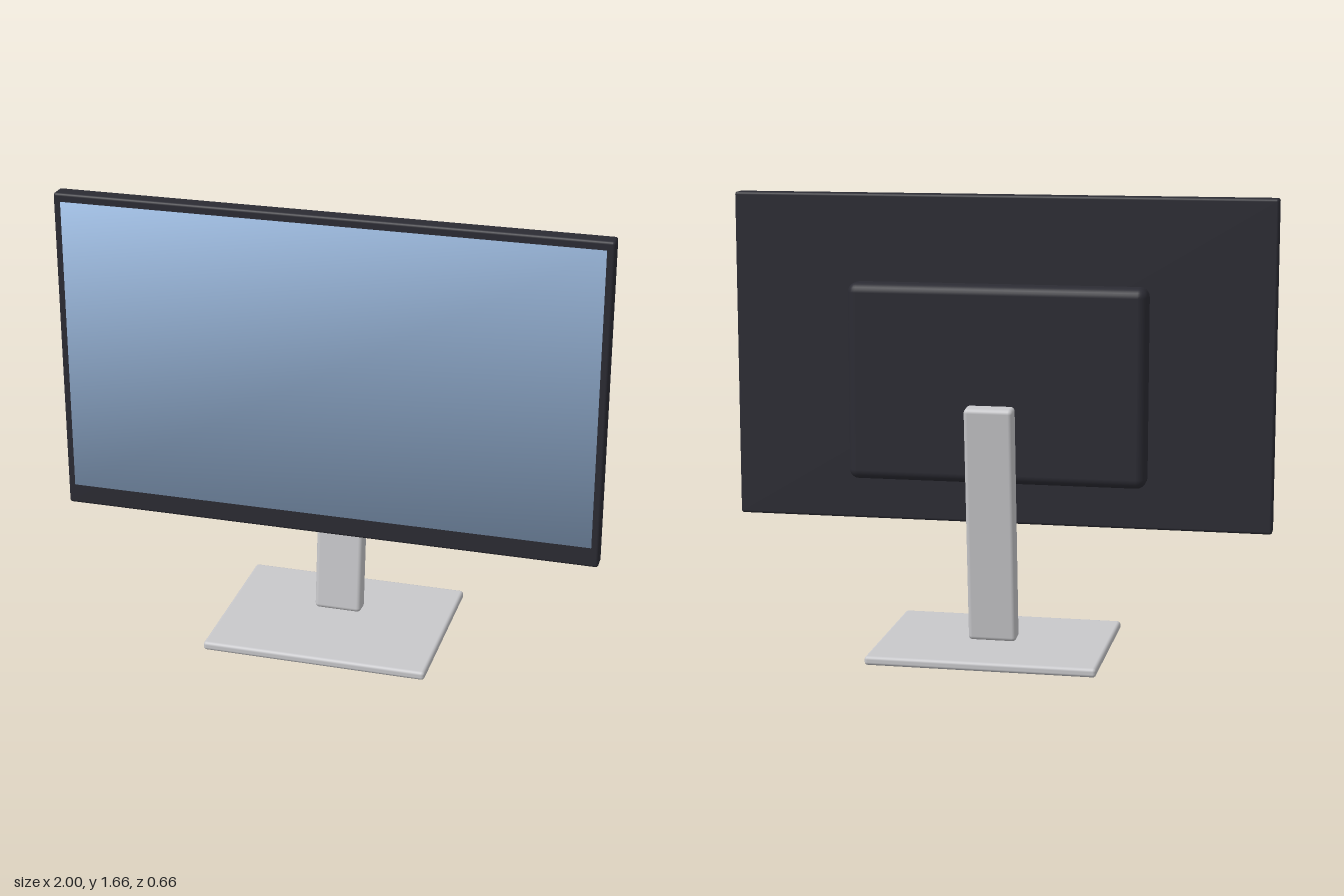
import * as THREE from 'three';
import { RoundedBoxGeometry } from 'three/addons/geometries/RoundedBoxGeometry.js';

export function createModel() {
  const model = new THREE.Group();
  model.name = 'monitor';

  const material = (name, color) => {
    const m = new THREE.MeshStandardMaterial({ color });
    m.name = name;
    return m;
  };
  const dark = material('dark casing', 0x2b2b33);
  const silver = material('silver stand', 0xc8c8cb);
  const blue = material('blue screen', 0x9bb8dc);

  const add = (name, geometry, mat, x, y, z) => {
    const mesh = new THREE.Mesh(geometry, mat);
    mesh.name = name;
    mesh.position.set(x, y, z);
    model.add(mesh);
    return mesh;
  };
  const rounded = (w, h, d, r) => new RoundedBoxGeometry(w, h, d, 3, r);

  // Display panel and the electronics housing behind it
  add('panel', rounded(2, 1.212, 0.066, 0.01), dark, 0, 1.055, 0.114);
  add('rearHousing', rounded(1.1, 0.726, 0.11, 0.035), dark, 0, 0.981, 0.022);

  // Thin screen plate with normals smoothed across its corners
  const plate = new THREE.BoxGeometry(1.946, 1.104, 0.008);
  const pos = plate.attributes.position;
  for (let i = 0; i < pos.count; i++) {
    const n = new THREE.Vector3(
      Math.sign(pos.getX(i)), Math.sign(pos.getY(i)), Math.sign(pos.getZ(i))
    ).normalize();
    plate.attributes.normal.setXYZ(i, n.x, n.y, n.z);
  }
  add('screen', plate, blue, 0, 1.078, 0.146);

  // Leaning neck and flat foot
  const neck = add('neck', rounded(0.178, 0.878, 0.07, 0.016), silver, 0, 0.483, -0.09);
  neck.rotation.x = -0.1;
  add('foot', rounded(0.84, 0.033, 0.658, 0.012), silver, 0, 0.0165, 0);

  return model;
}
